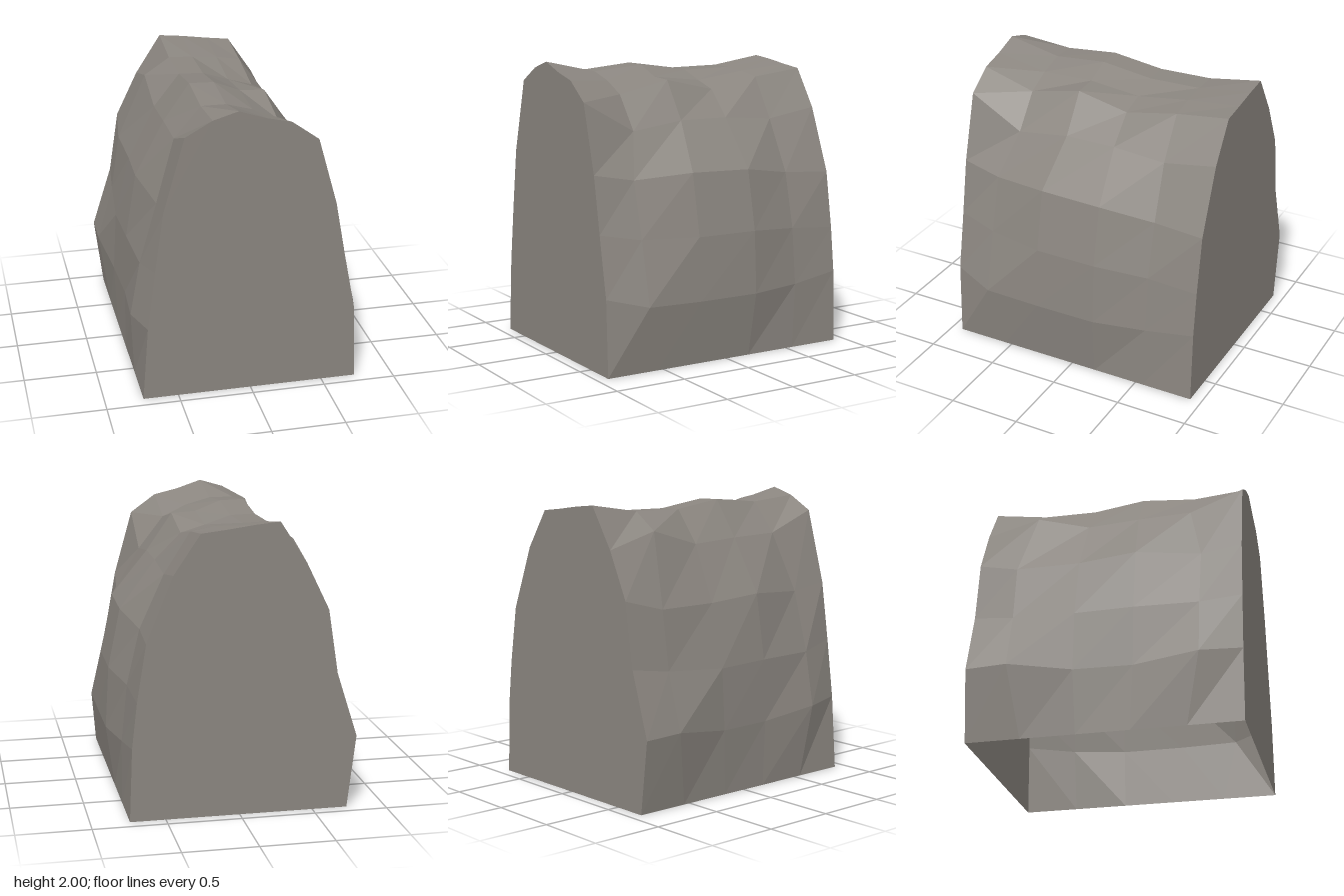
import * as THREE from 'three';

// Six cross-sections run from front (+z) to back (-z)
const STATIONS = [0.92, 0.55, 0.18, -0.18, -0.55, -0.92];
const CROWN_X = [0.44, 0.26, 0.09, -0.09, -0.26, -0.44];
const BASE_X = 0.74;

// Crown heights: one row per station, one value per CROWN_X
const CROWN_Y = [
  [1.77, 1.90, 1.94, 2.00, 1.95, 1.85],
  [1.56, 1.79, 1.87, 1.92, 1.92, 1.71],
  [1.61, 1.87, 1.88, 1.95, 1.955, 1.70],
  [1.61, 1.79, 1.84, 1.90, 1.905, 1.68],
  [1.58, 1.86, 1.89, 1.905, 1.91, 1.79],
  [1.64, 1.905, 1.925, 1.95, 1.967, 1.69],
];

// Bulging flanks: per station, [x, y] of the low, middle and high rows
const FLANK_POS = [
  [[0.72, 0.52], [0.64, 0.93], [0.57, 1.31]],
  [[0.80, 0.45], [0.70, 0.88], [0.60, 1.26]],
  [[0.80, 0.44], [0.77, 0.87], [0.685, 1.29]],
  [[0.80, 0.44], [0.775, 0.87], [0.69, 1.28]],
  [[0.74, 0.45], [0.70, 0.84], [0.61, 1.22]],
  [[0.72, 0.50], [0.684, 0.81], [0.62, 1.20]],
];
const FLANK_NEG = [
  [[-0.70, 0.52], [-0.645, 0.93], [-0.585, 1.34]],
  [[-0.77, 0.50], [-0.70, 0.88], [-0.58, 1.30]],
  [[-0.74, 0.45], [-0.72, 0.88], [-0.645, 1.33]],
  [[-0.755, 0.45], [-0.73, 0.87], [-0.625, 1.30]],
  [[-0.806, 0.51], [-0.69, 0.90], [-0.63, 1.30]],
  [[-0.80, 0.50], [-0.66, 0.94], [-0.593, 1.375]],
];
// Flank rows drift a little along z from the stations
const FLANK_Z_POS = [0.92, 0.64, 0.24, -0.20, -0.57, -0.92];
const FLANK_Z_NEG = [0.92, 0.64, 0.20, -0.20, -0.64, -0.92];

// Outline of one section, from the +x foot over the crown to the -x foot
function section(i) {
  const z = STATIONS[i];
  return [
    [BASE_X, 0, z],
    ...FLANK_POS[i].map(([x, y]) => [x, y, FLANK_Z_POS[i]]),
    ...CROWN_X.map((x, k) => [x, CROWN_Y[i][k], z]),
    ...FLANK_NEG[i].map(([x, y]) => [x, y, FLANK_Z_NEG[i]]).reverse(),
    [-BASE_X, 0, z],
  ];
}

// Faceted skin stretched between neighbouring sections
function shellGeometry(sections) {
  const positions = [];
  for (let i = 0; i < sections.length - 1; i++) {
    for (let j = 0; j < sections[i].length - 1; j++) {
      const a = sections[i][j], b = sections[i + 1][j];
      const c = sections[i + 1][j + 1], d = sections[i][j + 1];
      positions.push(...a, ...b, ...c, ...a, ...c, ...d);
    }
  }
  const geometry = new THREE.BufferGeometry();
  geometry.setAttribute('position', new THREE.Float32BufferAttribute(positions, 3));
  geometry.computeVertexNormals();
  return geometry;
}

// Flat end wall filling a section outline
function endGeometry(outline, facing) {
  const points = outline.map(([x, y]) => new THREE.Vector2(x * facing, y));
  const geometry = new THREE.ShapeGeometry(new THREE.Shape(points));
  if (facing < 0) geometry.rotateY(Math.PI);
  geometry.translate(0, 0, STATIONS[0] * facing);
  return geometry;
}

export function createModel() {
  const group = new THREE.Group();
  group.name = 'rockBlock';

  const stone = new THREE.MeshStandardMaterial({
    color: 0x8b8680, flatShading: true, side: THREE.DoubleSide,
  });
  stone.name = 'stone';

  const sections = STATIONS.map((_, i) => section(i));
  const add = (name, geometry) => {
    const mesh = new THREE.Mesh(geometry, stone);
    mesh.name = name;
    group.add(mesh);
  };

  // The underside stays open
  add('rockSurface', shellGeometry(sections));
  add('frontWall', endGeometry(sections[0], 1));
  add('backWall', endGeometry(sections[sections.length - 1], -1));

  return group;
}
